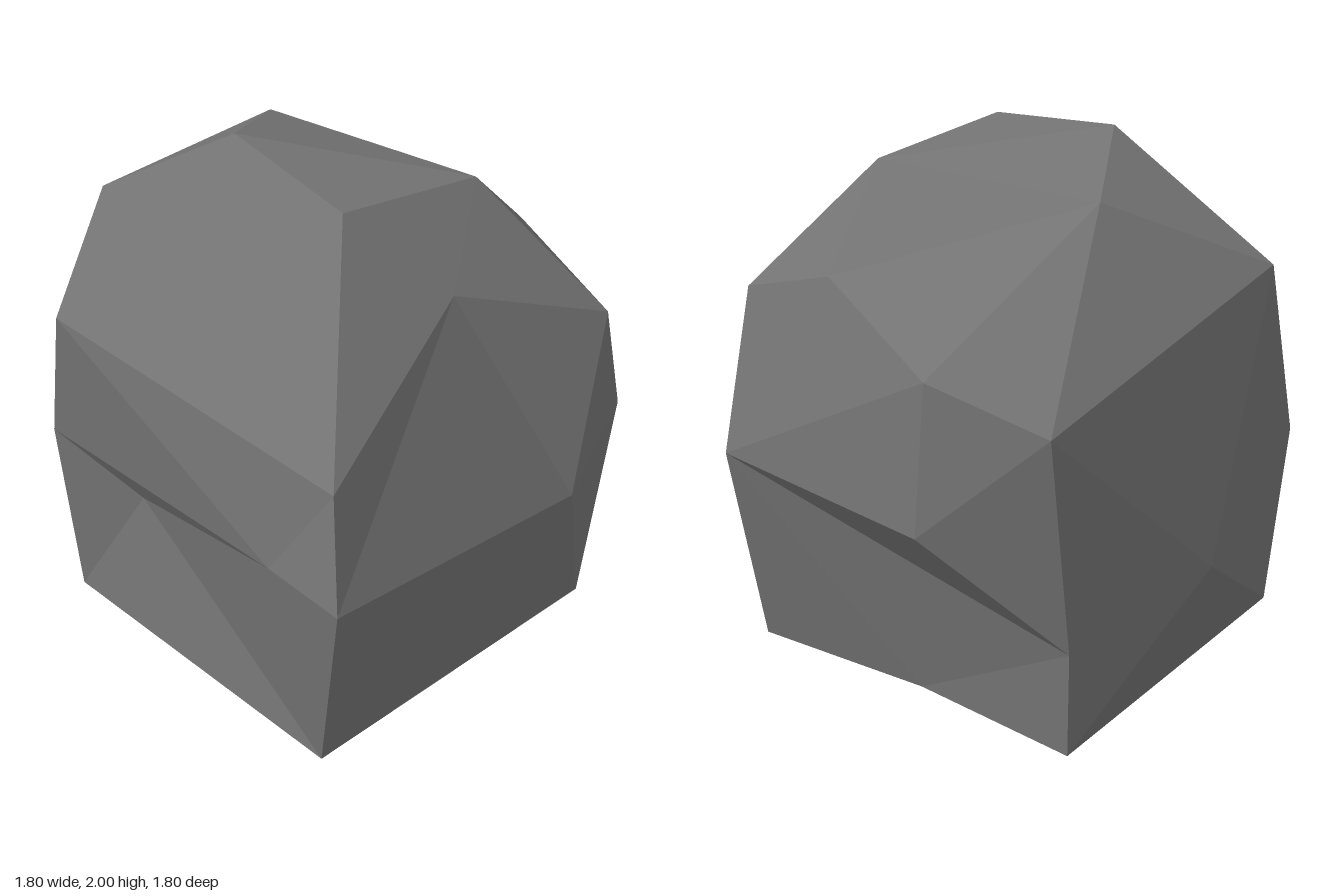
import * as THREE from 'three';

// Corner points of the boulder
const P = {
  // crown
  A: [-0.28, 2.0, 0.21], B: [0.27, 1.94, 0.26], C: [0.37, 1.88, -0.29], S: [-0.49, 1.86, -0.17],
  // shoulders
  M: [-0.88, 1.59, 0.31], N: [-0.6, 1.38, 0.79], E: [0.73, 1.34, 0.79], R: [0.55, 1.63, 0.02],
  D: [0.78, 1.39, -0.55], T: [0.32, 1.55, -0.62], V: [-0.28, 1.39, -0.84], U: [-0.7, 1.26, -0.72],
  // waist, with a notch in the front and an overhang at the back
  O: [-0.75, 0.78, 0.74], P: [0.5, 0.94, 0.86], Q: [-0.37, 0.61, 0.65], F: [0.85, 0.97, 0.9],
  G: [0.9, 0.8, -0.26], Y: [0.71, 0.83, -0.78], Z: [-0.28, 0.85, -0.9], W: [-0.71, 0.43, -0.62],
  L: [-0.9, 0.58, -0.04],
  // foot
  H: [0.65, 0.07, 0.77], I: [0.72, 0, -0.61], X: [-0.05, 0.05, -0.61], K: [-0.7, 0.02, -0.61],
  J: [-0.69, 0.035, 0.72],
};

// Facets fan out from a hub corner to a counterclockwise rim; a rim that repeats its start is closed
const FANS = [
  ['S', 'ACTVUMA'],   // crown
  ['C', 'AB'], ['C', 'DT'],
  ['N', 'AMOPEBA'],   // front brow
  ['Q', 'OJHPO'],     // front notch
  ['F', 'EPHIG'],     // left front corner
  ['R', 'BEFGDCB'],   // hollow in the left side
  ['L', 'UWKJOMU'],   // right side
  ['Y', 'TDGIXWZVT'], // back overhang
  ['U', 'VZW'],
  ['X', 'IHJKW'],     // underside
];

export function createModel() {
  const positions = [];
  for (const [hub, rim] of FANS) {
    for (let i = 0; i + 1 < rim.length; i++) {
      positions.push(...P[hub], ...P[rim[i]], ...P[rim[i + 1]]);
    }
  }
  const geometry = new THREE.BufferGeometry();
  geometry.setAttribute('position', new THREE.Float32BufferAttribute(positions, 3));
  geometry.computeVertexNormals(); // unshared corners give flat facets

  const stone = new THREE.MeshStandardMaterial({ color: 0x737373 });
  stone.name = 'stoneGrey';
  const boulder = new THREE.Mesh(geometry, stone);
  boulder.name = 'boulder';

  const model = new THREE.Group();
  model.name = 'rock';
  model.add(boulder);
  return model;
}
